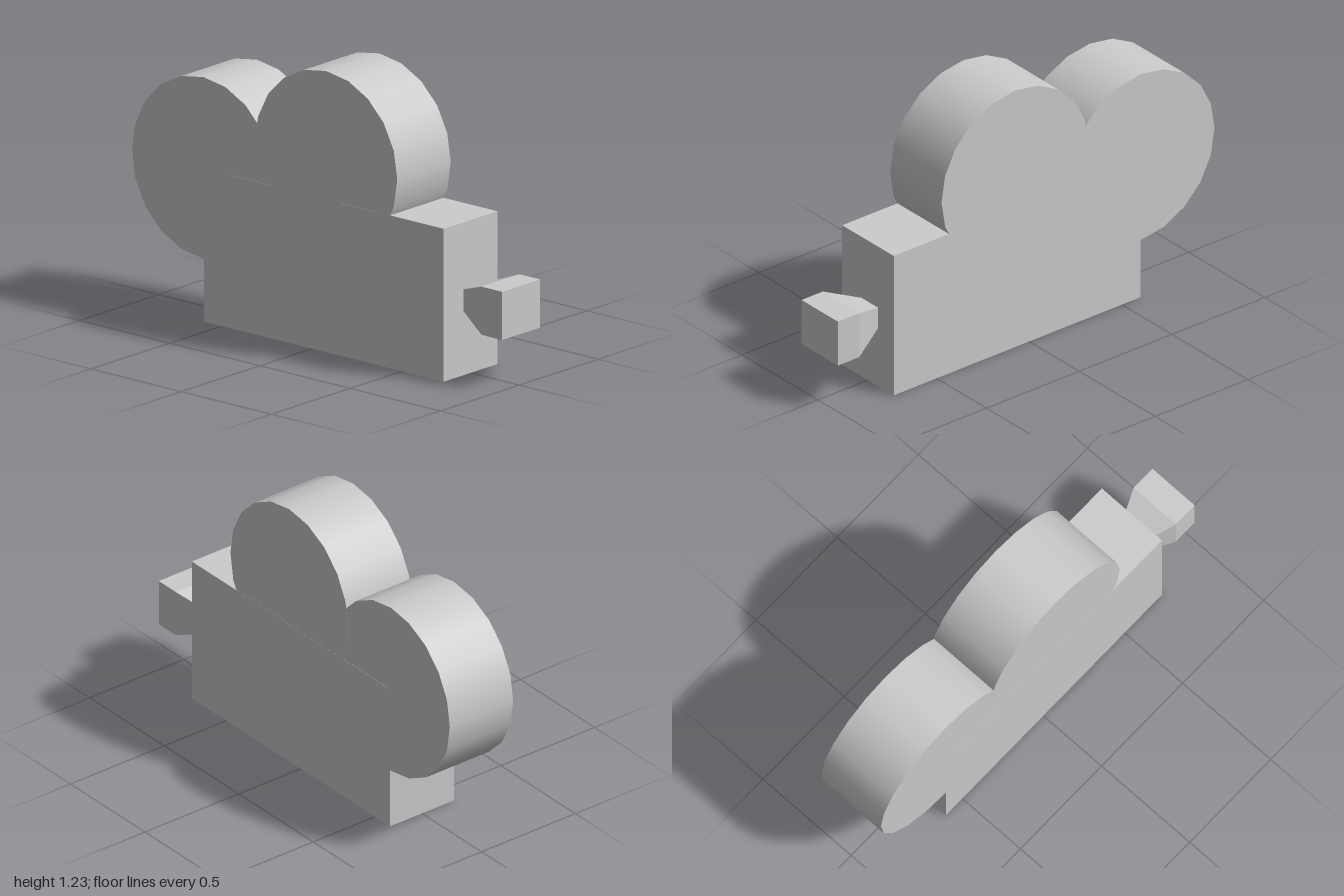
import * as THREE from 'three';

export function createModel() {
  const model = new THREE.Group();
  const material = new THREE.MeshStandardMaterial({ color: 0xcccccc });

  function add(name, geometry, x, y, z) {
    const mesh = new THREE.Mesh(geometry, material);
    mesh.name = name;
    mesh.position.set(x, y, z);
    model.add(mesh);
  }

  // Camera body
  add('body', new THREE.BoxGeometry(0.34, 0.666, 1.33), 0, 0.333, 0.065);

  // Two film reels lying across x; tiny width steps keep their faces from flickering
  const reel = (width) => new THREE.CylinderGeometry(0.396, 0.396, width, 20).rotateZ(Math.PI / 2);
  add('frontReel', reel(0.339), 0, 0.829, 0.076);
  add('backReel', reel(0.338), 0, 0.668, -0.604);

  // Lens tube: a box narrowed towards the body
  const taper = new THREE.BoxGeometry(0.24, 0.21, 0.155);
  const pos = taper.attributes.position;
  for (let i = 0; i < pos.count; i++) {
    if (pos.getZ(i) < 0) pos.setXY(i, pos.getX(i) * 0.46, pos.getY(i) * 0.46);
  }
  taper.computeVertexNormals();
  add('lensTube', taper, 0.012, 0.326, 0.8075);

  // Square lens hood
  add('lensHood', new THREE.BoxGeometry(0.24, 0.21, 0.115), 0.012, 0.326, 0.9425);

  return model;
}
